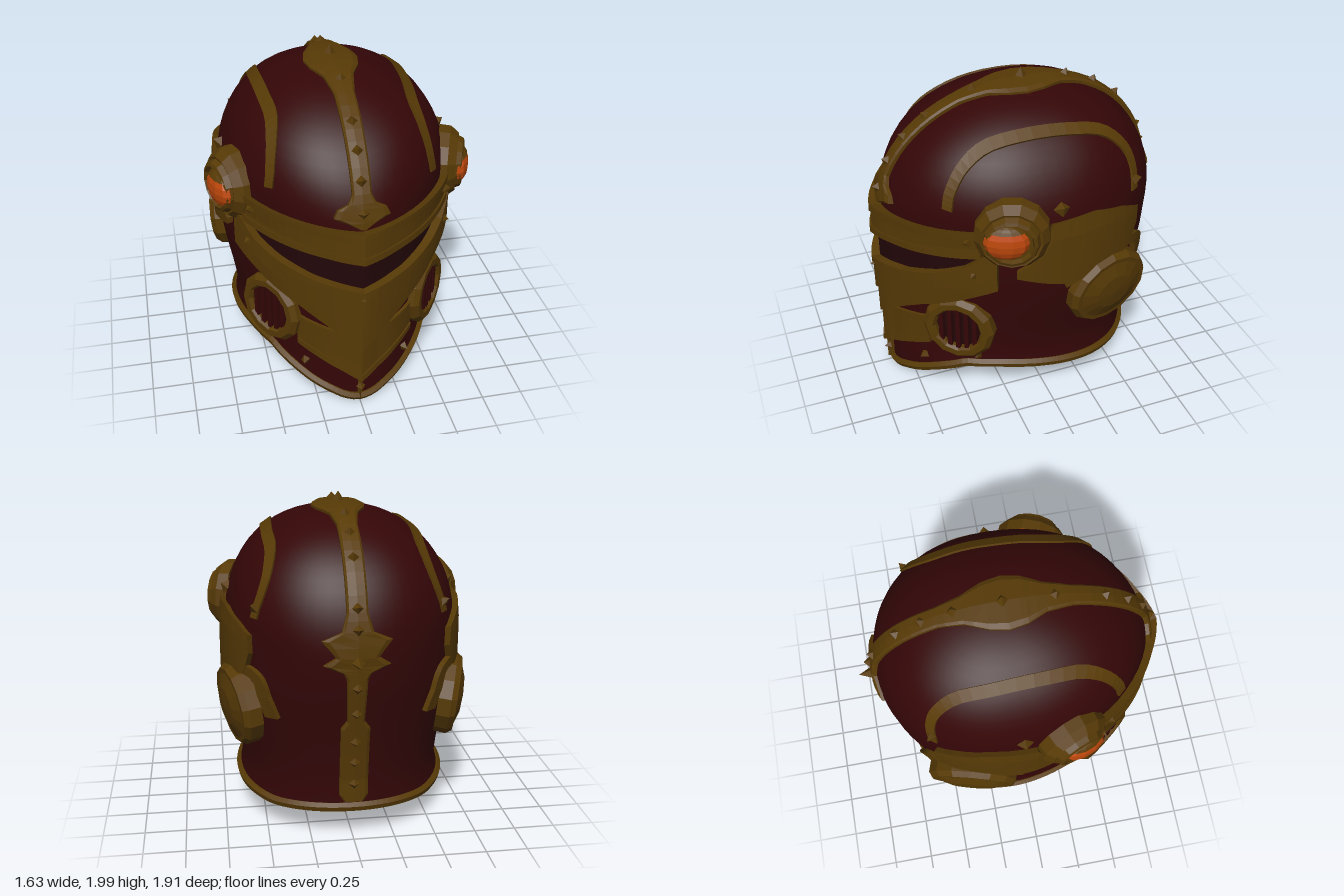
import * as THREE from 'three';

const mat = (name, color, flatShading) =>
  new THREE.MeshStandardMaterial({ name, color, flatShading, side: THREE.DoubleSide });
const V = (x, y, z) => new THREE.Vector3(x, y, z);
const ZC = -0.05, DOME = 1.2, TOP = 1.915;

// piecewise-linear lookup in [[x, value], ...]
function look(table, x) {
  if (x <= table[0][0]) return table[0][1];
  for (let i = 1; i < table.length; i++) {
    const [x0, v0] = table[i - 1], [x1, v1] = table[i];
    if (x <= x1) return v0 + (v1 - v0) * (x - x0) / (x1 - x0);
  }
  return table[table.length - 1][1];
}
const WIDTH = [[0, .65], [.22, .65], [.32, .62], [.5, .64], [.7, .68], [.9, .71], [1.2, .71]];
const BACK = [[.2, .67], [.4, .67], [.6, .70], [.8, .74], [1, .78], [1.2, .80]];
const HEM = [[-.8, .22], [-.55, .2], [0, .25], [.3, .27], [.5, .26], [.65, .19], [.8, .09], [.85, .035]];
// roundness of the plan: pointed at the face, fuller on the dome
const FRONT_POWER = [[1.2, 1.78], [1.7, 2.3]], BACK_POWER = [[1.2, 2.1], [1.7, 2.25]];

// half width, front depth and back depth of the helmet at height y
function section(y) {
  const f = Math.min(1, Math.max(0, (y - DOME) / (TOP - DOME)));
  const cap = p => Math.pow(1 - Math.pow(f, p), 1 / p);
  return { w: look(WIDTH, y) * cap(2.2), f: .9 * cap(2.1), b: look(BACK, y) * cap(2.2) };
}
const spow = (v, p) => Math.sign(v) * Math.pow(Math.abs(v), p);
// surface point at angle a round the helmet (0 = front) and height y
function surf(a, y) {
  const s = section(y), c = Math.cos(a), n = look(c > 0 ? FRONT_POWER : BACK_POWER, y);
  return V(s.w * spow(Math.sin(a), 2 / n), y, ZC + (c > 0 ? s.f : s.b) * spow(c, 2 / n));
}
// surface point on the left side at a given z and y
function sideP(z, y) {
  const s = section(y), front = z > ZC, n = look(front ? FRONT_POWER : BACK_POWER, y);
  const f = Math.min(1, Math.abs(z - ZC) / (front ? s.f : s.b));
  return V(s.w * Math.pow(1 - Math.pow(f, n), 1 / n), y, z);
}
const outward = p => V(p.x, Math.max(0, p.y - 1), p.z - ZC).normalize();
const push = (p, h) => p.clone().addScaledVector(outward(p), h);

// grid surface from a function of column and row
function grid(nu, nv, f) {
  const pos = [], idx = [];
  for (let i = 0; i <= nu; i++) for (let j = 0; j <= nv; j++) pos.push(...f(i, j).toArray());
  for (let i = 0; i < nu; i++) for (let j = 0; j < nv; j++) {
    const a = i * (nv + 1) + j, b = a + nv + 1;
    idx.push(a, b, a + 1, b, b + 1, a + 1);
  }
  const g = new THREE.BufferGeometry();
  g.setAttribute('position', new THREE.Float32BufferAttribute(pos, 3));
  g.setIndex(idx);
  g.computeVertexNormals();
  return g;
}
// raised plate on the helmet surface, with its border folded down
function plate(nu, nv, f, h) {
  return grid(nu + 2, nv + 2, (i, j) => {
    const edge = i === 0 || j === 0 || i === nu + 2 || j === nv + 2;
    const u = Math.min(1, Math.max(0, (i - 1) / nu)), v = Math.min(1, Math.max(0, (j - 1) / nv));
    return push(f(u, v), edge ? -.02 : h(u));
  });
}
// front band between two edge tables over the angle, mirrored about the middle
const band = (A, bottom, top, h) => plate(32, 3, (u, v) => {
  const a = (u * 2 - 1) * A, lo = look(bottom, Math.abs(a)), hi = look(top, Math.abs(a));
  return surf(a, lo + (hi - lo) * v);
}, u => h + .03 * Math.max(0, 1 - Math.abs(u * 2 - 1) * 3));
const shift = (t, d) => t.map(([a, y]) => [a, y + d]);
// narrow strip along a side path of [z, y] points
function strip(points, width, h) {
  const curve = new THREE.CatmullRomCurve3(points.map(([z, y]) => V(0, y, z)));
  return plate(28, 1, (u, v) => {
    const p = curve.getPoint(u), t = curve.getTangent(u), o = (v - .5) * width;
    return sideP(p.z - t.y * o, p.y + t.z * o);
  }, () => h);
}

export function createModel() {
  const red = mat('dark red', 0x340607, false), bronze = mat('bronze', 0x573a06, true);
  const dark = mat('shadow red', 0x220608, true), orange = mat('orange lens', 0xbc470c, true);
  const root = new THREE.Group();
  const add = (parent, name, geo, m) => {
    const mesh = new THREE.Mesh(geo, m);
    mesh.name = name;
    parent.add(mesh);
    return mesh;
  };
  const spike = (parent, p, dir, r = .035, h = .06) => {
    const m = add(parent, 'spike', new THREE.ConeGeometry(r, h, 4), bronze);
    m.position.copy(p).addScaledVector(dir, h / 2);
    m.quaternion.setFromUnitVectors(V(0, 1, 0), dir);
  };

  // outer shell and lining
  const hem = a => look(HEM, surf(a, .25).z);
  const shell = inset => grid(64, 26, (i, j) => {
    const a = i / 64 * Math.PI * 2, yb = hem(a);
    return push(surf(a, yb + (TOP - yb) * Math.sin(j / 26 * Math.PI / 2)), -inset);
  });
  add(root, 'shell', shell(0), red);
  add(root, 'lining', shell(.045), red);

  // rolled rim along the hem
  const rim = [];
  for (let i = 0; i < 64; i++) {
    const a = i / 64 * Math.PI * 2;
    rim.push(push(surf(a, hem(a)), -.005));
  }
  add(root, 'rim', new THREE.TubeGeometry(new THREE.CatmullRomCurve3(rim, true), 128, .03, 6, true), bronze);

  // crest strap from brow over the crown to the nape: [path position, half width]
  const ridge = s => {
    if (s > 1) return V(0, 2.2 - s, ZC - section(2.2 - s).b);
    const t = s * Math.PI, c = Math.cos(t), p = c > 0 ? 2.1 : 2.2;
    return V(0, DOME + (TOP - DOME) * Math.pow(Math.sin(t), 2 / p), ZC + (c > 0 ? .9 : .8) * spow(c, 2 / p));
  };
  const ridgeNormal = s => {
    const d = ridge(s + .01).sub(ridge(s - .01));
    return V(0, -d.z, d.y).normalize();
  };
  const widths = [[.025, .015], [.042, .09], [.055, .16], [.075, .14], [.088, .08], [.11, .055], [.36, .06],
    [.42, .09], [.46, .145], [.495, .165], [.53, .145], [.58, .085], [.64, .06], [.9, .06], [.945, .09], [.965, .2],
    [1, .12], [1.05, .19], [1.09, .08], [1.13, .06], [1.4, .05], [1.45, .085], [1.9, .085], [1.94, .06]];
  const stations = widths.map(w => w[0]);
  for (let s = .14; s < 1.9; s += .03) stations.push(s);
  stations.sort((a, b) => a - b);
  const across = [[-1, -.03], [-1, .02], [-.8, .03], [0, .032], [.8, .03], [1, .02], [1, -.03]];
  add(root, 'crestStrap', grid(stations.length - 1, 6, (i, j) => {
    const s = stations[i], x = across[j][0] * look(widths, s);
    const p = ridge(s).addScaledVector(ridgeNormal(s), across[j][1] - x * x / 1.4);
    return p.setX(x);
  }), bronze);
  for (const s of [.065, .14, .21, .28, .4, .5, .6, .68, .76, .89, .94, 1.02, 1.18, 1.34, 1.53, 1.67, 1.82])
    spike(root, ridge(s).addScaledVector(ridgeNormal(s), .02), ridgeNormal(s), .042,
      s === 1.02 ? .09 : s === .5 ? .065 : .045);

  // eye slot
  add(root, 'eyeSlot', band(.98, [[0, .86], [1, 1.0]], [[0, 1.09], [1, 1.18]], .004), dark);
  // brow band with lips
  const browLo = [[0, 1.06], [.35, 1.09], [1, 1.14]], browHi = [[0, 1.235], [.4, 1.265], [1, 1.3]];
  add(root, 'browBand', band(1, browLo, browHi, .04), bronze);
  add(root, 'browLip', band(1, shift(browHi, -.04), shift(browHi, .005), .05), bronze);
  add(root, 'browLowerLip', band(1, shift(browLo, -.005), shift(browLo, .035), .052), bronze);
  // face mask with lips
  const maskLo = [[0, .44], [.55, .69], [.8, .78], [1.1, .91]];
  const maskHi = [[0, .87], [.4, .92], [.7, .99], [.9, 1.06], [1.0, 1.14], [1.1, 1.2]];
  const foldLo = [[0, .64], [.5, .76], [.8, .84], [1.1, .94]];
  add(root, 'faceMask', band(1.1, maskLo, maskHi, .035), bronze);
  add(root, 'maskUpperPlate', band(1.1, foldLo, maskHi, .05), bronze);
  add(root, 'maskLip', band(1.08, shift(maskHi, -.035), shift(maskHi, .005), .058), bronze);
  // chin chevron and chin clasp
  add(root, 'chinChevron', band(.62, [[0, .2], [.62, .39]], [[0, .5], [.62, .6]], .022), bronze);
  add(root, 'chinLip', band(.62, [[0, .195], [.62, .385]], [[0, .24], [.62, .425]], .032), bronze);
  add(root, 'chinClasp', band(.03, [[0, .04], [1, .04]], [[0, .21], [1, .21]], .01), bronze);
  for (const y of [.13, .2, .82]) spike(root, push(surf(0, y), y > .5 ? .06 : .02), V(0, 0, 1), .03, .04);

  // parts repeated on both sides
  for (const side of [1, -1]) {
    const g = new THREE.Group();
    g.name = side > 0 ? 'leftSide' : 'rightSide';
    g.scale.x = side;
    root.add(g);
    // local +z of a mount points out of the helmet
    const mount = (name, p, yaw, pitch = 0) => {
      const m = new THREE.Group();
      m.name = name;
      m.position.copy(p);
      m.rotation.set(pitch, yaw, 0, 'YXZ');
      g.add(m);
      return m;
    };
    const turned = (pts, n) =>
      new THREE.LatheGeometry(pts.map(p => new THREE.Vector2(...p)), n).rotateX(Math.PI / 2);

    add(g, 'sideArch', strip([[.57, 1.42], [.55, 1.51], [.47, 1.64], [.33, 1.74], [.1, 1.785], [-.2, 1.775],
      [-.4, 1.72], [-.52, 1.61], [-.56, 1.5], [-.56, 1.36]], .045, .014), bronze);

    // hinge plate behind the lamp
    const hi = [[-.55, 1.26], [-.45, 1.31], [-.25, 1.36], [.03, 1.34], [.1, 1.12], [.22, 1.04]];
    const lo = [[-.55, 1.15], [-.5, 1.02], [-.3, .96], [-.1, .92], [.05, .95], [.22, 1.0]];
    add(g, 'hingePlate', plate(16, 4, (u, v) => {
      const z = -.55 + .77 * u, b = look(lo, z);
      return sideP(z, b + (look(hi, z) - b) * v);
    }, () => .038), bronze);
    add(g, 'hingeCollar', strip([[-.05, .92], [-.2, .98], [-.42, 1.04], [-.58, 1.02], [-.61, .9], [-.62, .78]],
      .06, .035), bronze);

    // side lamp
    const lamp = mount('sideLamp', sideP(.25, 1.3), 1.2);
    add(lamp, 'lampHousing', turned([[.225, -.04], [.22, .03], [.18, .08], [.165, .075], [.15, .11], [.13, .118],
      [.12, .09], [0, .09]], 13), bronze);
    const lens = add(lamp, 'lens', new THREE.SphereGeometry(.132, 10, 8), orange);
    const lid = add(lamp, 'lensLid', new THREE.SphereGeometry(.142, 10, 4, 0, Math.PI * 2, 0, .85), bronze);
    for (const m of [lens, lid]) {
      m.scale.set(1, .8, .44);
      m.position.set(-.03, 0, .094);
    }

    // round ear shield
    const ear = mount('earShield', sideP(-.36, .78), 1.84, .12);
    const dome = add(ear, 'shieldDome', turned([[.28, -.045], [.285, .035], [.26, .07], [.23, .07], [.13, .1],
      [0, .11]], 14), bronze);
    dome.scale.y = .88;

    // cheek vent with upright bars
    const vent = mount('cheekVent', surf(.84, .565), .92);
    add(vent, 'ventRing', turned([[.228, -.03], [.228, .03], [.2, .06], [.16, .06], [.145, .04], [.145, -.03]], 12), bronze);
    add(vent, 'ventBack', new THREE.CircleGeometry(.155, 12), dark).position.z = .012;
    for (let i = -2; i <= 2; i++) {
      const len = 2 * Math.sqrt(.15 ** 2 - (i * .054) ** 2);
      add(vent, 'ventBar', new THREE.BoxGeometry(.028, len, .035), red).position.set(i * .054, 0, .028);
    }
    // vent fastening on the lining
    const clasp = add(vent, 'innerFastening', new THREE.CapsuleGeometry(.05, .2, 4, 10), bronze);
    clasp.scale.z = .2;
    clasp.rotation.z = .4;
    clasp.position.set(-.03, 0, -.052);

    // studs on the bands and cheeks: [angle, height]
    for (const [a, y] of [[.92, 1.24], [.6, .56], [.95, 1.02], [.55, .26], [.98, .33]]) {
      const p = surf(a, y);
      spike(g, push(p, y > 1 ? .04 : .005), outward(p), .03, .045);
    }
    const stud = sideP(-.04, 1.42);
    spike(g, stud, outward(stud), .05, .05);
    const rearStud = sideP(-.56, 1.42);
    spike(g, push(rearStud, .01), outward(rearStud), .035, .05);
  }
  return root;
}
